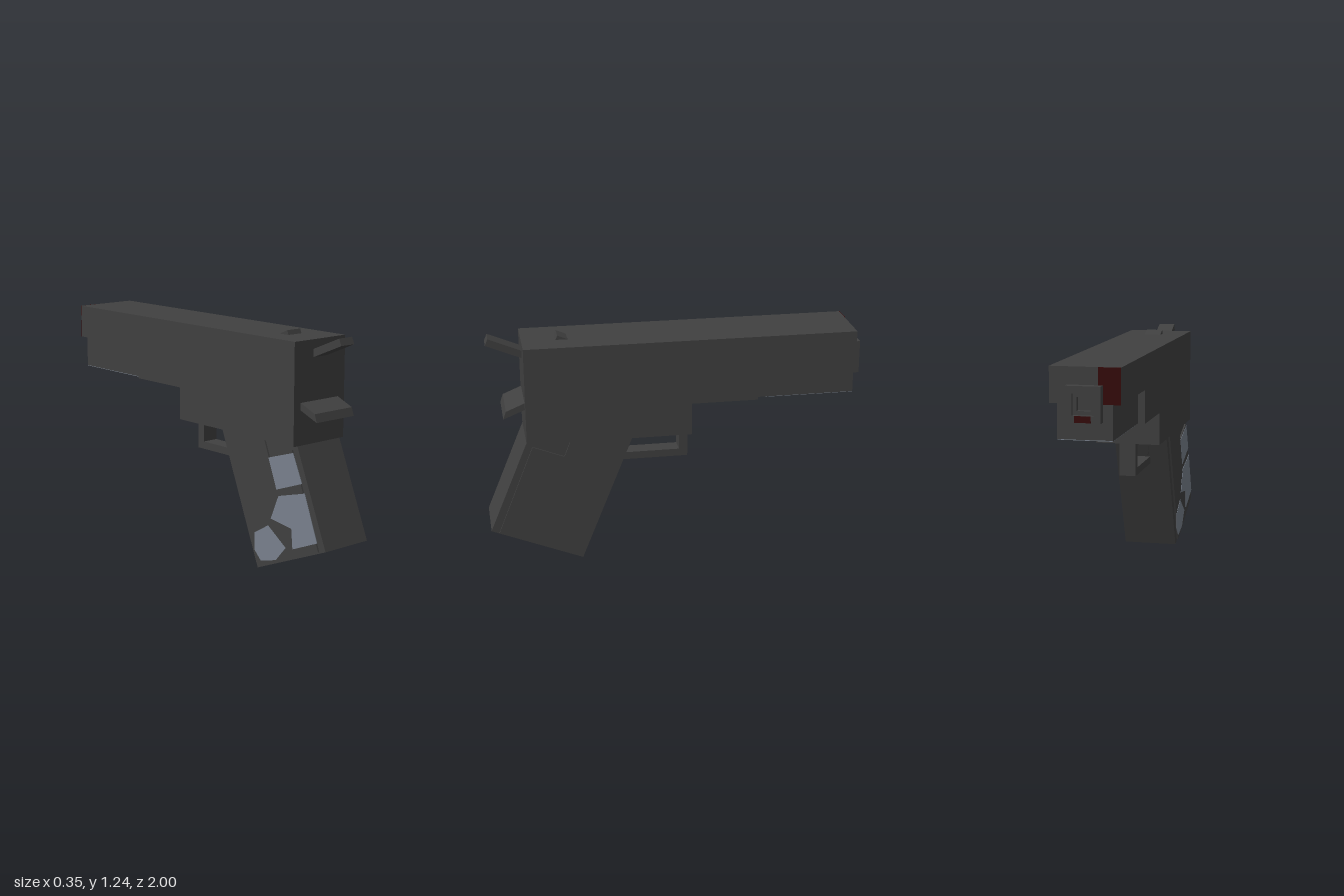
import * as THREE from 'three';

const make = (name, hex) => {
  const m = new THREE.MeshStandardMaterial({ color: hex });
  m.name = name;
  return m;
};

export function createModel() {
  const group = new THREE.Group();
  const grey = make('charcoal', 0x404040);
  const slate = make('slate', 0x78808c);
  const red = make('dark red', 0x350a0a);

  const add = (name, geometry, material = grey) => {
    const mesh = new THREE.Mesh(geometry, material);
    mesh.name = name;
    group.add(mesh);
    return mesh;
  };

  // Side profile of [z, y] points, extruded across x from x0 to x1
  const slab = (name, points, x0, x1, material) => {
    const shape = new THREE.Shape(points.map(([z, y]) => new THREE.Vector2(z, y)));
    const g = new THREE.ExtrudeGeometry(shape, { depth: x1 - x0, bevelEnabled: false });
    g.rotateY(-Math.PI / 2).translate(x1, 0, 0);
    return add(name, g, material);
  };

  // Box given by its limits on each axis
  const block = (name, [x0, x1], [y0, y1], [z0, z1], material) => {
    const g = new THREE.BoxGeometry(x1 - x0, y1 - y0, z1 - z0);
    g.translate((x0 + x1) / 2, (y0 + y1) / 2, (z0 + z1) / 2);
    return add(name, g, material);
  };

  // Square frame facing the muzzle end
  const frame = (name, outer, inner, z0, z1) => {
    const square = (S, r) => new S([[-r, -r], [r, -r], [r, r], [-r, r]].map(p => new THREE.Vector2(...p)));
    const shape = square(THREE.Shape, outer);
    shape.holes.push(square(THREE.Path, inner));
    const g = new THREE.ExtrudeGeometry(shape, { depth: z1 - z0, bevelEnabled: false });
    g.translate(0, 1.043, z0);
    return add(name, g);
  };

  // Slide and receiver, with a narrower rail under the front
  slab('body', [[0.795, 0.695], [0.795, 1.217], [-0.955, 1.217], [-0.955, 1.04],
    [-0.43, 1.04], [-0.43, 0.868], [-0.075, 0.868], [-0.075, 0.695]], -0.175, 0.175);
  block('rail', [-0.137, 0.137], [0.868, 1.04], [-0.955, -0.43]);
  block('railUnderside', [-0.135, 0.135], [0.865, 0.869], [-0.955, -0.48], slate);
  block('railUndersideRear', [-0.03, 0.11], [0.865, 0.869], [-0.48, -0.3], slate);

  // Muzzle
  frame('muzzle', 0.088, 0.053, -1, -0.955);
  frame('muzzleLiner', 0.053, 0.033, -0.98, -0.955);
  block('muzzleMark', [-0.04, 0.04], [0.957, 0.989], [-1.002, -0.998], red);
  block('slideMark', [-0.175, -0.065], [1.04, 1.217], [-0.958, -0.954], red);

  // Grip with a raised panel on each side
  slab('grip', [[0.795, 0.695], [1, 0.2], [0.515, 0.003], [0.235, 0.695]], -0.148, 0.148);
  const panel = [[0.765, 0.672], [0.958, 0.19], [0.555, 0.026], [0.285, 0.695], [0.565, 0.695], [0.6, 0.607]];
  for (const side of [-1, 1]) {
    slab('gripPanel', panel, side * 0.1515 - 0.0055, side * 0.1515 + 0.0055);
  }

  // Pale inlays on one grip face
  const inlays = [
    [[0.775, 0.66], [0.84, 0.515], [0.66, 0.45], [0.6, 0.605]],
    [[0.675, 0.42], [0.86, 0.47], [0.95, 0.235], [0.78, 0.165], [0.77, 0.27], [0.62, 0.29]],
    [[0.5, 0.1], [0.5, 0.19], [0.6, 0.25], [0.73, 0.16], [0.66, 0.08], [0.55, 0.05]],
  ];
  for (const points of inlays) slab('gripInlay', points, -0.159, -0.156, slate);

  // Trigger guard and trigger
  slab('triggerGuard', [[-0.03, 0.695], [-0.03, 0.56], [0.31, 0.56], [0.33, 0.52],
    [-0.075, 0.52], [-0.075, 0.695]], -0.045, 0.045);
  slab('trigger', [[0.235, 0.67], [0.255, 0.675], [0.3, 0.57], [0.275, 0.575]], -0.04, 0.04);

  // Hammer, rear tang and rear sight
  slab('hammer', [[0.965, 1.24], [0.98, 1.205], [0.78, 1.122], [0.78, 1.163]], -0.045, 0.045);
  slab('tang', [[0.893, 0.87], [0.908, 0.828], [0.78, 0.88], [0.78, 0.917]], -0.13, 0.13);
  slab('rearSight', [[0.608, 1.24], [0.62, 1.21], [0.55, 1.21], [0.556, 1.218]], -0.045, 0.045);

  return group;
}
